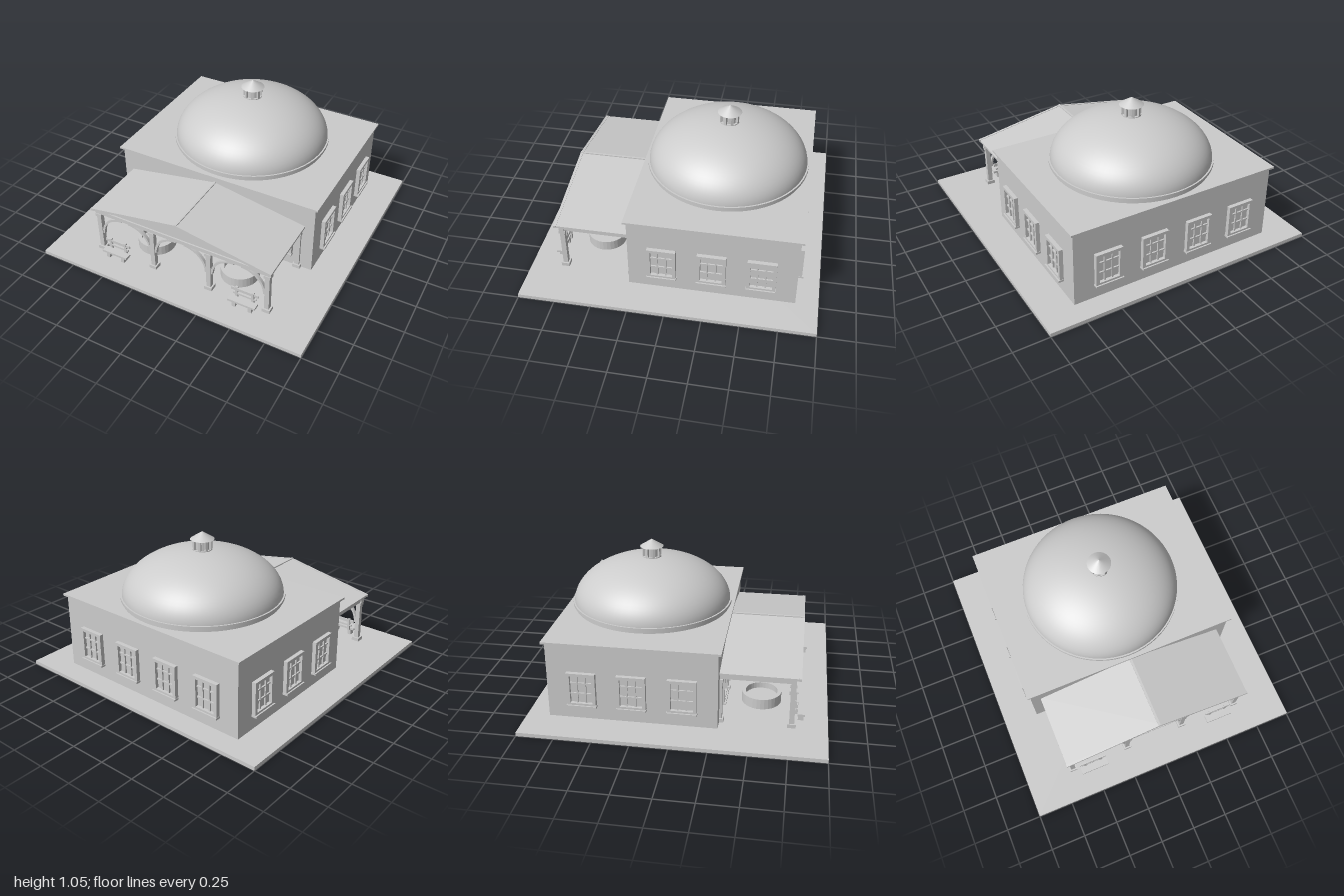
import * as THREE from 'three';

const plaster = new THREE.MeshStandardMaterial({ color: 0xcccccc });
plaster.name = 'palePlaster';

function add(parent, geometry, name) {
  const mesh = new THREE.Mesh(geometry, plaster);
  mesh.name = name;
  parent.add(mesh);
  return mesh;
}

// box given by its lower and upper limits on each axis
function box(parent, name, x0, x1, y0, y1, z0, z1) {
  const m = add(parent, new THREE.BoxGeometry(x1 - x0, y1 - y0, z1 - z0), name);
  m.position.set((x0 + x1) / 2, (y0 + y1) / 2, (z0 + z1) / 2);
  return m;
}

function extrude(parent, name, shape, z0, z1) {
  const g = new THREE.ExtrudeGeometry(shape, { depth: z1 - z0, bevelEnabled: false, curveSegments: 16 });
  g.translate(0, 0, z0);
  return add(parent, g, name);
}

function polygon(points) {
  return new THREE.Shape(points.map(([x, y]) => new THREE.Vector2(x, y)));
}

function lathe(parent, name, points, segments, x, y, z) {
  const g = new THREE.LatheGeometry(points.map(([r, h]) => new THREE.Vector2(r, h)), segments);
  const flat = g.toNonIndexed();
  flat.computeVertexNormals();
  const m = add(parent, flat, name);
  m.position.set(x, y, z);
  return m;
}

// window facing +z, with its back on z = 0
function makeWindow() {
  const w = new THREE.Group();
  w.name = 'window';
  box(w, 'glass', -0.08, 0.08, 0.145, 0.355, -0.01, 0.005);
  for (const s of [-1, 1]) {
    box(w, 'jamb', s * 0.0855 - 0.0115, s * 0.0855 + 0.0115, 0.135, 0.368, 0, 0.028);
  }
  box(w, 'head', -0.075, 0.075, 0.347, 0.368, 0, 0.028);
  box(w, 'bottomRail', -0.075, 0.075, 0.135, 0.15, 0, 0.028);
  box(w, 'sill', -0.1, 0.1, 0.122, 0.136, 0, 0.038);
  for (const s of [-1, 1]) {
    box(w, 'verticalBar', s * 0.028 - 0.005, s * 0.028 + 0.005, 0.15, 0.347, 0, 0.016);
  }
  for (const y of [0.216, 0.292]) box(w, 'crossBar', -0.075, 0.075, y - 0.005, y + 0.005, 0, 0.015);
  return w;
}

// square post with base and capital, centred on x, z
function makePost(parent, x, z) {
  const p = new THREE.Group();
  p.name = 'porchPost';
  box(p, 'postBase', -0.028, 0.028, 0.025, 0.052, -0.028, 0.028);
  box(p, 'shaft', -0.017, 0.017, 0.052, 0.33, -0.017, 0.017);
  box(p, 'capital', -0.023, 0.023, 0.322, 0.345, -0.023, 0.023);
  p.position.set(x, 0, z);
  parent.add(p);
}

// quarter arch from a post up to the beam; dir is the side it springs to
function makeBrace(parent, x, dir) {
  const r = 0.175, t = 0.016;
  const cx = dir * (0.014 + r), cy = 0.345 - r;
  const from = dir > 0 ? Math.PI : 0;
  const to = Math.PI / 2;
  const s = new THREE.Shape();
  s.absarc(cx, cy, r, from, to, dir > 0);
  s.absarc(cx, cy, r - t, to, from, dir < 0);
  s.closePath();
  const m = extrude(parent, 'archBrace', s, 0.752, 0.774);
  m.position.x = x;
}

function makeBench(x) {
  const b = new THREE.Group();
  b.name = 'bench';
  box(b, 'seat', -0.1, 0.1, 0.07, 0.086, 0.798, 0.848);
  box(b, 'topRail', -0.1, 0.1, 0.134, 0.156, 0.789, 0.798);
  box(b, 'lowerRail', -0.085, 0.085, 0.102, 0.116, 0.789, 0.798);
  for (const s of [-0.06, 0.06]) {
    box(b, 'leg', s - 0.013, s + 0.013, 0.025, 0.07, 0.802, 0.84);
    box(b, 'backPost', s - 0.009, s + 0.009, 0.07, 0.163, 0.782, 0.799);
  }
  b.position.x = x;
  return b;
}

export function createModel() {
  const model = new THREE.Group();
  model.name = 'domedHall';
  const cz = -0.28;

  // ground and main hall
  box(model, 'groundSlab', -1, 1, 0, 0.026, -1, 1);
  box(model, 'walls', -0.757, 0.757, 0.026, 0.566, -0.847, 0.287);
  box(model, 'flatRoof', -0.778, 0.778, 0.564, 0.578, -0.868, 0.307);

  // dome on its drum
  const dome = new THREE.Group();
  dome.name = 'dome';
  dome.position.z = cz;
  model.add(dome);
  add(dome, new THREE.CylinderGeometry(0.556, 0.556, 0.04, 64), 'drum').position.y = 0.592;
  add(dome, new THREE.CylinderGeometry(0.567, 0.567, 0.02, 64), 'drumRing').position.y = 0.609;
  const shell = add(dome, new THREE.SphereGeometry(0.557, 64, 20, 0, Math.PI * 2, 0, Math.PI / 2), 'domeShell');
  shell.scale.y = 0.318 / 0.557;
  shell.position.y = 0.607;

  // lantern on top
  add(dome, new THREE.CylinderGeometry(0.052, 0.052, 0.09, 24), 'lanternCore').position.y = 0.955;
  for (let i = 0; i < 8; i++) {
    const a = (i + 0.5) * Math.PI / 4;
    const post = box(dome, 'lanternPost', -0.009, 0.009, 0.91, 0.998, -0.009, 0.009);
    post.position.x = Math.sin(a) * 0.058;
    post.position.z = Math.cos(a) * 0.058;
    post.rotation.y = a;
  }
  add(dome, new THREE.CylinderGeometry(0.068, 0.068, 0.01, 24), 'lanternFoot').position.y = 0.923;
  add(dome, new THREE.ConeGeometry(0.083, 0.053, 32), 'lanternRoof').position.y = 1.022;

  // windows: front, back and both sides
  const place = (x, z, turn) => {
    const w = makeWindow();
    w.position.set(x, 0, z);
    w.rotation.y = turn;
    model.add(w);
  };
  for (const x of [-0.515, 0.515]) place(x, 0.287, 0);
  for (const x of [-0.515, -0.172, 0.172, 0.515]) place(x, -0.847, Math.PI);
  for (const z of [0.055, -0.28, -0.613]) {
    place(0.757, z, Math.PI / 2);
    place(-0.757, z, -Math.PI / 2);
  }

  // double door
  const door = new THREE.Group();
  door.name = 'door';
  model.add(door);
  box(door, 'doorHead', -0.116, 0.116, 0.333, 0.346, 0.28, 0.306);
  for (const s of [-1, 1]) {
    box(door, 'doorJamb', s * 0.111 - 0.005, s * 0.111 + 0.005, 0.026, 0.335, 0.28, 0.306);
    box(door, 'doorLeaf', s * 0.0535 - 0.0525, s * 0.0535 + 0.0525, 0.03, 0.333, 0.28, 0.296);
    box(door, 'handle', s * 0.021 - 0.004, s * 0.021 + 0.004, 0.138, 0.162, 0.29, 0.306);
    for (const y of [0.09, 0.245]) box(door, 'strapHinge', s * 0.054 - 0.043, s * 0.054 + 0.043, y - 0.004, y + 0.004, 0.29, 0.3);
  }

  // porch posts, wall posts, beams and arched braces
  const porch = new THREE.Group();
  porch.name = 'porch';
  model.add(porch);
  for (const x of [-0.652, -0.22, 0.22, 0.652]) {
    makePost(porch, x, 0.763);
    makePost(porch, x, 0.287);
    box(porch, 'sideBeam', x - 0.015, x + 0.015, 0.347, 0.384, 0.28, 0.75);
    if (x > -0.6) makeBrace(porch, x, -1);
    if (x < 0.6) makeBrace(porch, x, 1);
  }
  box(porch, 'frontBeam', -0.678, 0.678, 0.345, 0.386, 0.746, 0.781);

  // gabled porch roof
  extrude(porch, 'gable', polygon([[-0.675, 0.384], [0.675, 0.384], [0.675, 0.39], [0, 0.505], [-0.675, 0.39]]), 0.28, 0.79);
  for (const s of [-1, 1]) {
    const slope = [[0, 0.497], [s * 0.69, 0.383], [s * 0.69, 0.398], [0, 0.519]];
    extrude(porch, 'roofSlope', polygon(slope), 0.28, 0.797);
    const board = [[0, 0.5], [s * 0.692, 0.382], [s * 0.692, 0.4], [0, 0.522]];
    extrude(porch, 'bargeBoard', polygon(board), 0.793, 0.812);
  }
  box(porch, 'ridge', -0.008, 0.008, 0.505, 0.525, 0.28, 0.812);
  box(porch, 'gableSill', -0.678, 0.678, 0.384, 0.394, 0.78, 0.8);

  // round planters and benches
  for (const x of [-0.338, 0.338]) {
    lathe(model, 'planter', [[0.136, 0], [0.136, 0.073], [0.11, 0.073], [0.11, 0.03], [0, 0.03]], 32, x, 0.026, 0.545);
  }
  for (const x of [-0.5, 0.5]) model.add(makeBench(x));

  return model;
}
